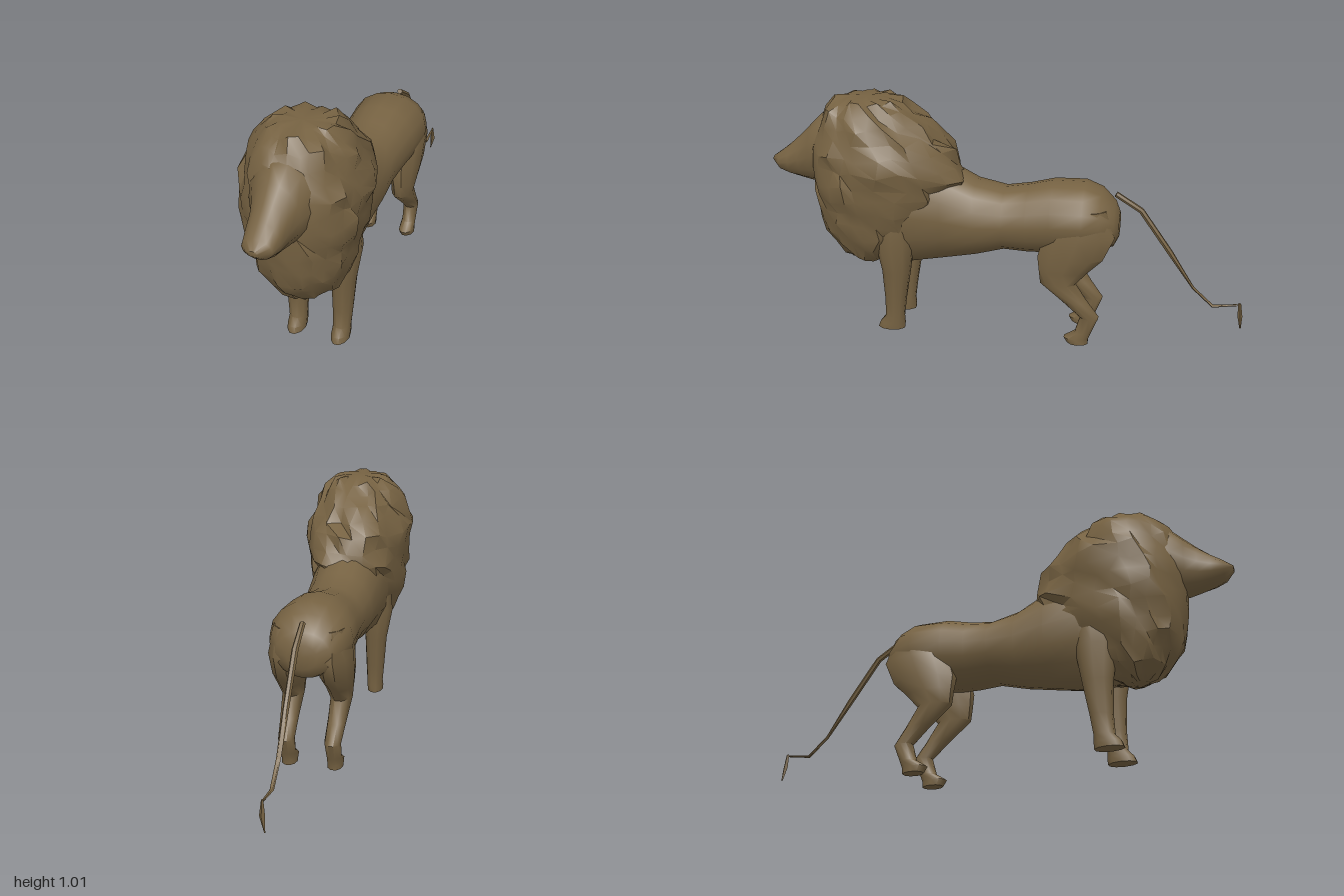
import * as THREE from 'three';
import { toCreasedNormals } from 'three/addons/utils/BufferGeometryUtils.js';

const fur = new THREE.MeshStandardMaterial({ color: 0x766242 });
fur.name = 'tawny fur';

// Small seeded random, -1..1
let seed = 7;
const rand = () => {
  seed = (seed * 16807) % 2147483647;
  return (seed / 2147483647) * 2 - 1;
};

// Skin a list of rings (equal point counts) and close both ends
function loft(rings, crease) {
  const n = rings[0].length, pos = [], idx = [];
  rings.forEach(r => r.forEach(p => pos.push(p.x, p.y, p.z)));
  for (let i = 0; i < rings.length - 1; i++) {
    for (let j = 0; j < n; j++) {
      const a = i * n + j, b = i * n + (j + 1) % n;
      idx.push(a, b, a + n, b, b + n, a + n);
    }
  }
  [0, rings.length - 1].forEach(i => {
    const c = new THREE.Vector3();
    rings[i].forEach(p => c.addScaledVector(p, 1 / n));
    const k = pos.length / 3;
    pos.push(c.x, c.y, c.z);
    for (let j = 0; j < n; j++) {
      const a = i * n + j, b = i * n + (j + 1) % n;
      if (i === 0) idx.push(k, b, a); else idx.push(k, a, b);
    }
  });
  const g = new THREE.BufferGeometry();
  g.setAttribute('position', new THREE.Float32BufferAttribute(pos, 3));
  g.setIndex(idx);
  return toCreasedNormals(g, crease);
}

// Ellipse ring; tilt 0 stands upright, PI/2 lies flat
function ring(x, y, z, rx, r, tilt, n) {
  return Array.from({ length: n }, (_, j) => {
    const a = (j / n) * Math.PI * 2, s = Math.sin(a) * r;
    return new THREE.Vector3(x + rx * Math.cos(a), y + s * Math.cos(tilt), z + s * Math.sin(tilt));
  });
}

function part(group, name, geometry) {
  const m = new THREE.Mesh(geometry, fur);
  m.name = name;
  group.add(m);
}

// Rows of z, bottom y, top y, half width
const alongZ = (rows, n) =>
  loft(rows.map(([z, lo, hi, rx]) => ring(0, (lo + hi) / 2, z, rx, (hi - lo) / 2, 0, n)), 0.9);

// Rows from the top down: y, x, z, half width, half depth
const leg = (rows, side) =>
  loft(rows.map(([y, x, z, rx, rz]) => ring(x * side, y, z, rx, rz, Math.PI / 2, 10)), 0.9);

const FRONT_LEG = [
  [0.56, 0.09, 0.45, 0.07, 0.08], [0.42, 0.105, 0.455, 0.07, 0.085], [0.28, 0.1, 0.454, 0.05, 0.062],
  [0.14, 0.097, 0.463, 0.042, 0.046], [0.06, 0.095, 0.47, 0.037, 0.042],
  [0.03, 0.095, 0.482, 0.038, 0.056], [0.005, 0.095, 0.487, 0.036, 0.06],
];
const HIND_LEG = [
  [0.61, 0.085, -0.33, 0.06, 0.1], [0.5, 0.092, -0.32, 0.074, 0.15], [0.4, 0.096, -0.285, 0.066, 0.14],
  [0.34, 0.1, -0.258, 0.054, 0.105], [0.28, 0.1, -0.235, 0.045, 0.074], [0.2, 0.098, -0.308, 0.038, 0.053],
  [0.13, 0.095, -0.371, 0.034, 0.04], [0.06, 0.095, -0.347, 0.031, 0.036],
  [0.03, 0.095, -0.318, 0.034, 0.054], [0.005, 0.095, -0.325, 0.032, 0.045],
];

// Shaggy mane: rows of y, back z, front z, half width, roughened all over
function maneGeometry() {
  const rows = [
    [1.012, 0.5, 0.66, 0.08], [1.0, 0.43, 0.71, 0.12], [0.96, 0.385, 0.75, 0.16], [0.91, 0.325, 0.78, 0.192],
    [0.86, 0.275, 0.798, 0.213], [0.8, 0.22, 0.81, 0.226], [0.74, 0.18, 0.815, 0.229], [0.68, 0.16, 0.815, 0.226],
    [0.62, 0.2, 0.81, 0.216], [0.56, 0.24, 0.808, 0.205], [0.5, 0.28, 0.8, 0.19], [0.44, 0.33, 0.785, 0.176],
    [0.39, 0.38, 0.755, 0.155], [0.34, 0.43, 0.715, 0.125], [0.305, 0.5, 0.67, 0.08], [0.287, 0.55, 0.63, 0.03],
  ];
  const n = 26, mid = 0.58;
  return loft(rows.map(([y, back, front, rx], i) => Array.from({ length: n }, (_, j) => {
    const edge = i === 0 || i === rows.length - 1;
    const a = ((j + rand() * 0.3) / n) * Math.PI * 2, s = Math.sin(a);
    // the face side is calmer than the sides and back
    const k = 1 + rand() * (s > 0.8 ? 0.03 : 0.075);
    return new THREE.Vector3(
      rx * k * Math.cos(a),
      y + (edge ? 0.003 : 0.014) * rand(),
      mid + k * s * (s > 0 ? front - mid : mid - back));
  })), 0.6);
}

// Kinked tail: rows of y, z, x, half width, half thickness
function tailGeometry() {
  const rows = [
    [0.65, -0.455, 0, 0.012, 0.012], [0.585, -0.56, 0, 0.013, 0.012], [0.41, -0.685, 0, 0.012, 0.012],
    [0.255, -0.79, 0, 0.009, 0.005], [0.178, -0.875, 0, 0.008, 0.006], [0.192, -0.975, 0, 0.005, 0.004],
  ];
  return loft(rows.map(([y, z, x, rx, r], i) => {
    const a = rows[Math.max(i - 1, 0)], b = rows[Math.min(i + 1, rows.length - 1)];
    return ring(x, y, z, rx, r, Math.atan2(a[0] - b[0], b[1] - a[1]), 6);
  }), 0.9);
}

export function createModel() {
  const lion = new THREE.Group();
  lion.name = 'lion';

  part(lion, 'body', alongZ([
    [-0.475, 0.47, 0.57, 0.06], [-0.455, 0.43, 0.615, 0.11], [-0.4, 0.415, 0.67, 0.148],
    [-0.33, 0.4, 0.697, 0.168], [-0.2, 0.385, 0.695, 0.158], [-0.1, 0.38, 0.67, 0.146],
    [0, 0.385, 0.653, 0.143], [0.12, 0.35, 0.68, 0.148], [0.25, 0.322, 0.75, 0.155],
    [0.4, 0.292, 0.8, 0.165], [0.54, 0.3, 0.76, 0.15], [0.64, 0.4, 0.65, 0.08],
  ], 16));

  part(lion, 'head', alongZ([
    [0.68, 0.62, 0.95, 0.14], [0.77, 0.63, 0.935, 0.125], [0.82, 0.632, 0.885, 0.095],
    [0.87, 0.642, 0.835, 0.078], [0.92, 0.655, 0.79, 0.07], [0.965, 0.675, 0.755, 0.058], [1.0, 0.708, 0.73, 0.018],
  ], 14));

  part(lion, 'mane', maneGeometry());

  for (const side of [1, -1]) {
    const name = side > 0 ? 'left' : 'right';
    part(lion, name + 'FrontLeg', leg(FRONT_LEG, side));
    part(lion, name + 'HindLeg', leg(HIND_LEG, side));
  }

  part(lion, 'tail', tailGeometry());

  // Tuft hanging from the tail end
  part(lion, 'tailTuft', loft([
    ring(0, 0.2, -0.984, 0.004, 0.006, Math.PI / 2, 4), ring(0, 0.14, -0.99, 0.011, 0.01, Math.PI / 2, 4),
    ring(-0.01, 0.08, -0.996, 0.002, 0.003, Math.PI / 2, 4),
  ], 0.5));

  return lion;
}
